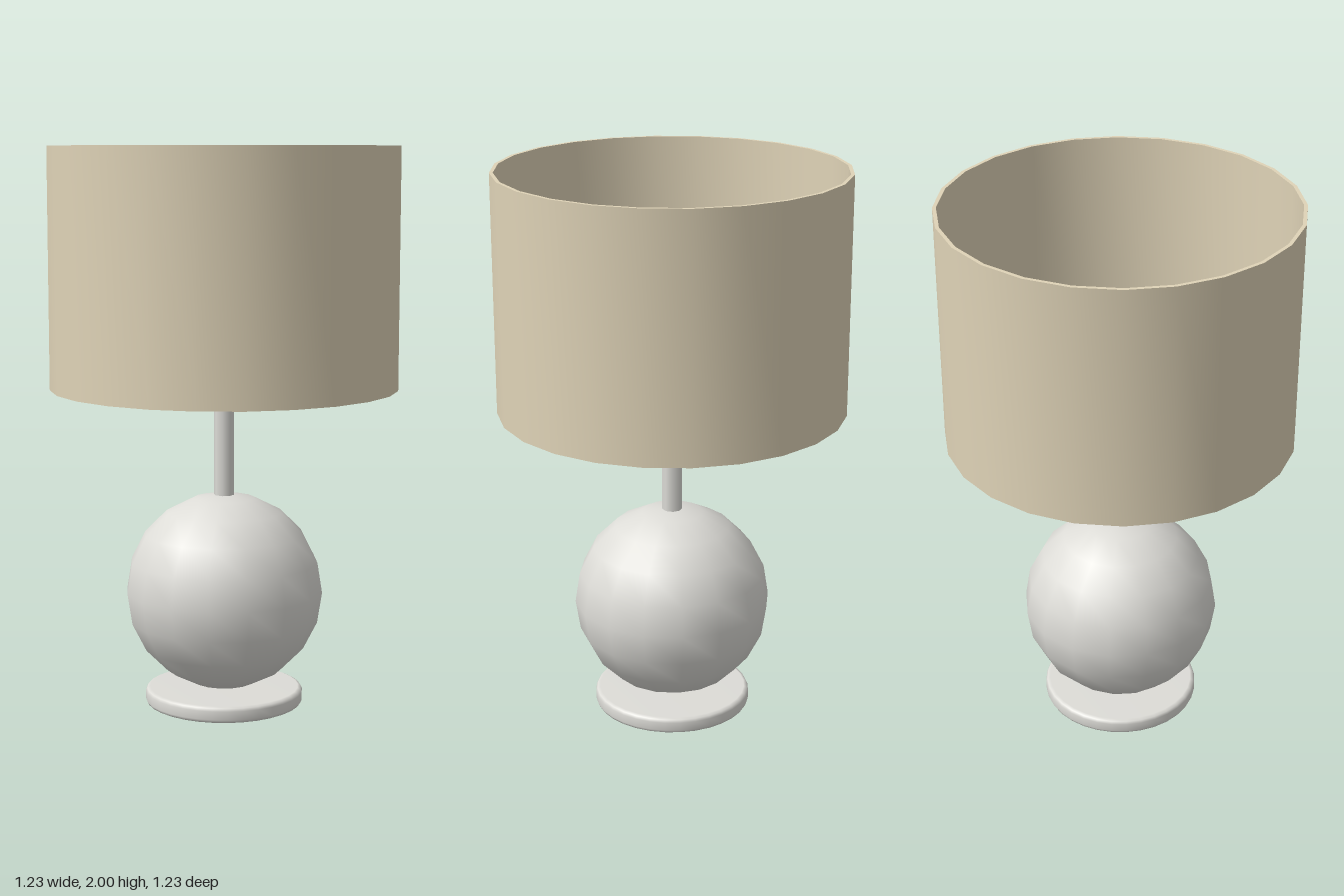
import * as THREE from 'three';
import { toCreasedNormals } from 'three/addons/utils/BufferGeometryUtils.js';

const metal = new THREE.MeshStandardMaterial({ color: 0xdddcd7 });
metal.name = 'pale metal';
const fabric = new THREE.MeshStandardMaterial({ color: 0xdfd3b7 });
fabric.name = 'beige fabric';

// Lathe from [radius, height] pairs, listed bottom to top on the outside
function lathe(profile, segments) {
  return new THREE.LatheGeometry(profile.map(([r, y]) => new THREE.Vector2(r, y)), segments);
}

export function createModel() {
  const lamp = new THREE.Group();
  lamp.name = 'tableLamp';

  function add(name, geometry, material, y = 0) {
    const mesh = new THREE.Mesh(geometry, material);
    mesh.name = name;
    mesh.position.y = y;
    lamp.add(mesh);
  }

  // Round foot with softened rims
  add('foot', lathe([
    [0, 0], [0.268, 0], [0.279, 0.005], [0.284, 0.015],
    [0.284, 0.045], [0.279, 0.055], [0.268, 0.06], [0, 0.06],
  ], 32), metal);

  // Ball body resting on the foot
  add('ballBody', new THREE.SphereGeometry(0.355, 16, 10), metal, 0.415);

  // Stem from the ball up into the shade
  add('stem', new THREE.CylinderGeometry(0.036, 0.036, 0.5, 8), metal, 0.995);

  // Open drum shade with a thin wall and flat rims
  const shade = lathe([
    [0.617, 1.15], [0.617, 2], [0.604, 2], [0.604, 1.15], [0.617, 1.15],
  ], 24);
  add('shade', toCreasedNormals(shade, Math.PI / 6), fabric);

  return lamp;
}
